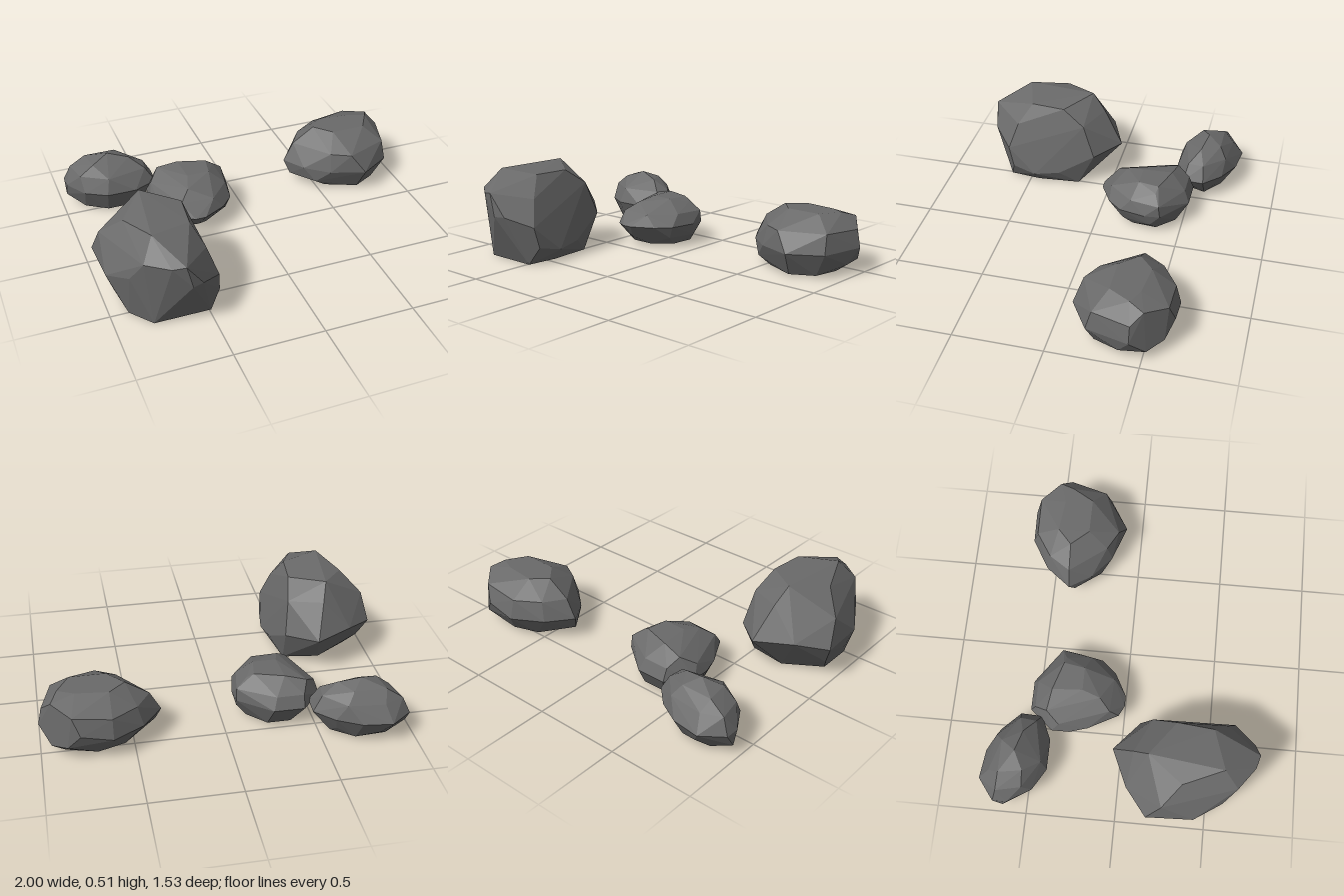
import * as THREE from 'three';
import { ConvexGeometry } from 'three/addons/geometries/ConvexGeometry.js';

// Faceted boulder: the convex hull of its chiselled corners, [x, y, z] each
function boulder(name, corners, material) {
  const points = corners.map(c => new THREE.Vector3(...c));
  const mesh = new THREE.Mesh(new ConvexGeometry(points), material);
  mesh.name = name;
  return mesh;
}

// Corners that share one height, given as [x, z]
const ring = (y, pts) => pts.map(([x, z]) => [x, y, z]);

export function createModel() {
  const group = new THREE.Group();
  group.name = 'boulders';
  const stone = new THREE.MeshStandardMaterial({ color: 0x6a6a6a, flatShading: true });
  stone.name = 'grey stone';

  // Large boulder, with a broad flat cut on its +x side
  group.add(boulder('largeBoulder', [
    ...ring(0, [[-0.8, 0.63], [-0.49, 0.63], [-0.47, 0.45], [-0.49, 0.2], [-0.7, 0.17], [-0.9, 0.3], [-0.9, 0.5]]),
    // flat side
    [-0.41, 0.07, 0.46], [-0.43, 0.09, 0.31], [-0.475, 0.21, 0.1], [-0.5, 0.4, 0.17],
    [-0.53, 0.49, 0.3], [-0.49, 0.37, 0.58], [-0.44, 0.22, 0.63], [-0.43, 0.1, 0.6],
    // front
    [-0.65, 0.41, 0.76], [-0.62, 0.28, 0.76], [-0.72, 0.4, 0.74], [-0.56, 0.28, 0.74], [-0.84, 0.4, 0.65],
    // back
    [-0.64, 0.23, -0.04], [-0.85, 0.25, 0.05], [-0.69, 0.42, 0.08],
    // top
    [-0.72, 0.515, 0.16], [-0.77, 0.51, 0.57], [-0.86, 0.48, 0.35], [-0.55, 0.49, 0.5],
    // -x side
    [-1, 0.22, 0.17], [-0.99, 0.22, 0.43], [-0.97, 0.37, 0.25], [-0.95, 0.1, 0.4], [-0.95, 0.1, 0.22], [-0.9, 0.28, 0.58],
  ], stone));

  // Small boulder at the back
  group.add(boulder('backBoulder', [
    ...ring(0.01, [[-0.88, -0.54], [-0.85, -0.66], [-0.68, -0.67], [-0.56, -0.58], [-0.6, -0.46], [-0.76, -0.46]]),
    ...ring(0.06, [[-0.97, -0.63], [-0.8, -0.72], [-0.58, -0.64]]),
    ...ring(0.14, [[-0.97, -0.6], [-0.97, -0.68], [-0.85, -0.77], [-0.69, -0.75], [-0.56, -0.68],
      [-0.46, -0.58], [-0.465, -0.46], [-0.6, -0.4], [-0.77, -0.4], [-0.89, -0.47]]),
    ...ring(0.23, [[-0.93, -0.66], [-0.82, -0.71], [-0.62, -0.69], [-0.51, -0.57], [-0.52, -0.48], [-0.75, -0.43], [-0.9, -0.52]]),
    ...ring(0.29, [[-0.84, -0.65], [-0.66, -0.65], [-0.6, -0.54], [-0.82, -0.52]]),
    [-0.72, 0.325, -0.57],
  ], stone));

  // Small boulder in the middle
  group.add(boulder('middleBoulder', [
    ...ring(0.01, [[-0.44, -0.38], [-0.37, -0.46], [-0.24, -0.46], [-0.14, -0.36], [-0.15, -0.22], [-0.26, -0.13], [-0.39, -0.13], [-0.46, -0.22]]),
    ...ring(0.06, [[-0.09, -0.33], [-0.13, -0.16], [-0.33, -0.05], [-0.5, -0.32]]),
    ...ring(0.13, [[-0.54, -0.4], [-0.54, -0.3], [-0.51, -0.2], [-0.42, -0.03], [-0.36, 0], [-0.3, 0], [-0.17, -0.07],
      [-0.1, -0.15], [-0.07, -0.3], [-0.08, -0.39], [-0.26, -0.53], [-0.43, -0.53]]),
    ...ring(0.2, [[-0.08, -0.38], [-0.11, -0.21], [-0.23, -0.07], [-0.42, -0.08], [-0.52, -0.36], [-0.28, -0.5], [-0.43, -0.5]]),
    ...ring(0.25, [[-0.36, -0.14], [-0.46, -0.43], [-0.14, -0.35]]),
    ...ring(0.275, [[-0.34, -0.41], [-0.18, -0.36], [-0.2, -0.24], [-0.33, -0.24]]),
  ], stone));

  // Lone boulder on the +x side, with an oval cut at its back corner
  group.add(boulder('loneBoulder', [
    ...ring(0.01, [[0.47, -0.36], [0.55, -0.5], [0.7, -0.55], [0.87, -0.5], [0.89, -0.38], [0.86, -0.23], [0.73, -0.16], [0.55, -0.24]]),
    ...ring(0.06, [[0.37, -0.37], [0.48, -0.22], [0.96, -0.38]]),
    ...ring(0.14, [[0.34, -0.4], [0.42, -0.27], [0.55, -0.16], [0.75, -0.09], [0.93, -0.2], [0.45, -0.54], [0.62, -0.64]]),
    // oval cut
    [0.98, 0.25, -0.44], [1, 0.15, -0.44], [0.94, 0.06, -0.52], [0.86, 0.09, -0.6],
    [0.79, 0.18, -0.64], [0.83, 0.28, -0.61], [0.93, 0.31, -0.5],
    // shoulders
    ...ring(0.25, [[0.4, -0.4], [0.56, -0.19], [0.67, -0.13], [0.92, -0.23], [0.62, -0.61], [0.48, -0.52]]),
    // top
    ...ring(0.335, [[0.53, -0.4], [0.62, -0.48], [0.8, -0.46], [0.89, -0.42], [0.82, -0.3], [0.62, -0.3]]),
  ], stone));

  return group;
}
